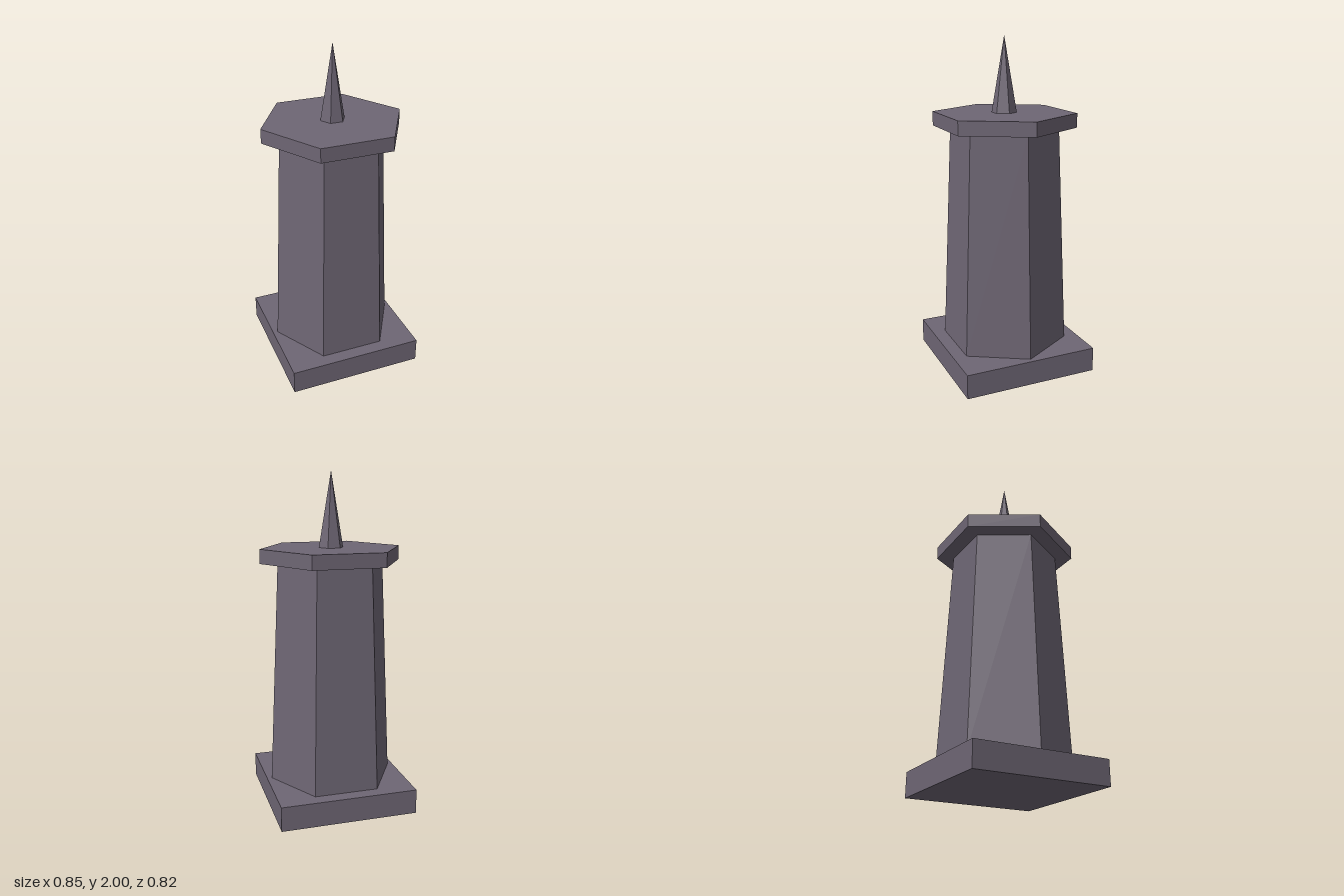
import * as THREE from 'three';

export function createModel() {
  const model = new THREE.Group();
  const stone = new THREE.MeshStandardMaterial({ color: 0x6e6674 });
  stone.name = 'greyPurpleStone';
  stone.flatShading = true;

  function add(name, geometry, y) {
    const mesh = new THREE.Mesh(geometry, stone);
    mesh.name = name;
    mesh.position.y = y;
    model.add(mesh);
  }

  // Six-sided section from y0 to y1, with corners on the x axis
  function hexSection(name, topRadius, bottomRadius, y0, y1) {
    const geometry = new THREE.CylinderGeometry(topRadius, bottomRadius, y1 - y0, 6);
    geometry.rotateY(Math.PI / 6);
    add(name, geometry, (y0 + y1) / 2);
  }

  // Square plinth
  add('plinth', new THREE.BoxGeometry(0.822, 0.148, 0.822), 0.074);
  // Tapered shaft, overhanging cap slab and pointed spire
  hexSection('shaft', 0.322, 0.382, 0.148, 1.476);
  hexSection('capSlab', 0.426, 0.426, 1.476, 1.56);
  hexSection('spire', 0, 0.074, 1.56, 2);

  return model;
}
